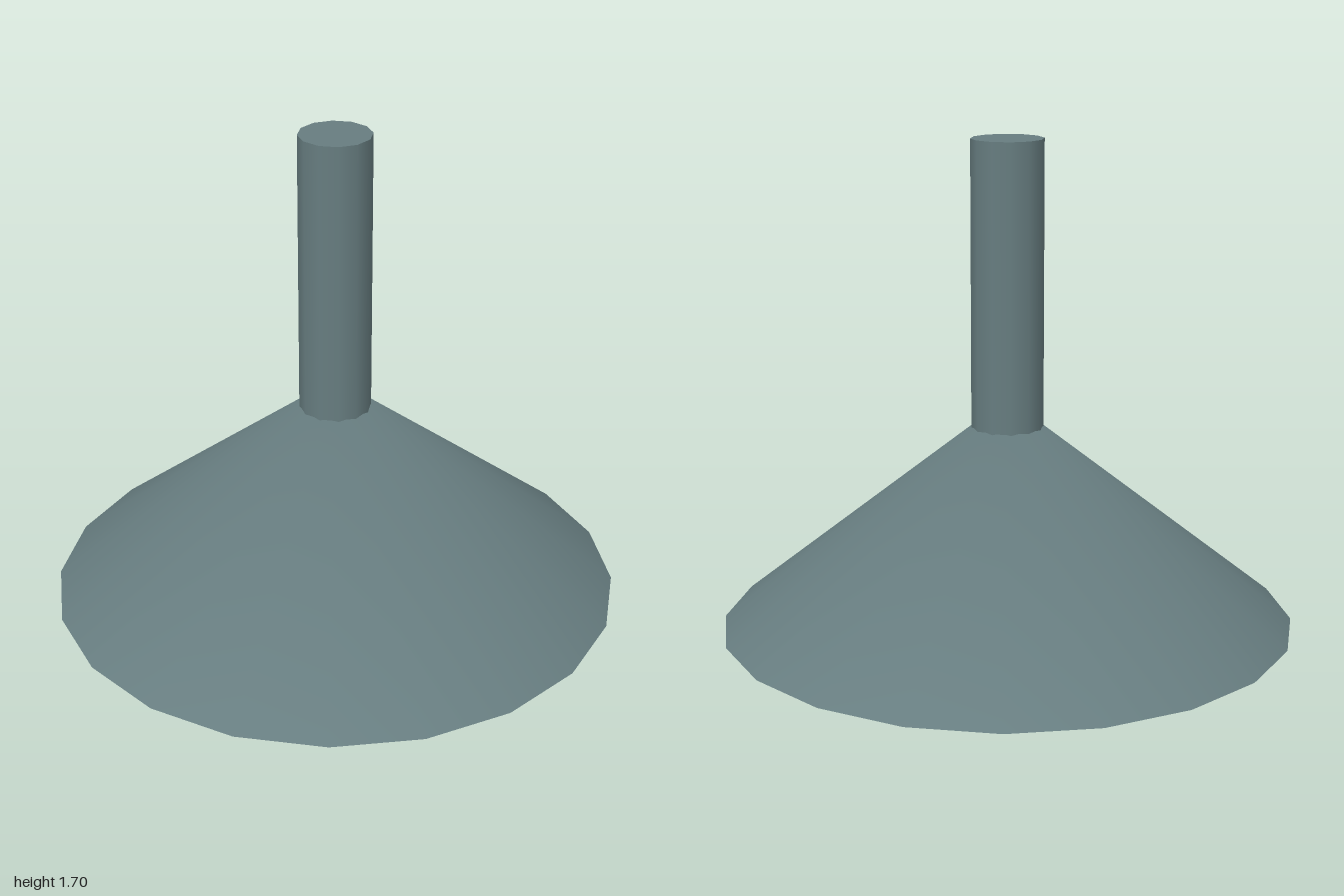
import * as THREE from 'three';
import { mergeVertices } from 'three/addons/utils/BufferGeometryUtils.js';

const SIDES = 20;

export function createModel() {
  const model = new THREE.Group();
  model.name = 'pendantLamp';

  const metal = new THREE.MeshStandardMaterial({ color: 0x677d80 });
  metal.name = 'slate grey metal';
  const glass = new THREE.MeshStandardMaterial({ color: 0xe6e6e6 });
  glass.name = 'white glass';

  const add = (name, geometry, material, y = 0) => {
    const mesh = new THREE.Mesh(geometry, material);
    mesh.name = name;
    mesh.position.y = y;
    model.add(mesh);
  };

  // Open cone whose vertices are shared, so the shading runs smoothly to the tip
  const smoothCone = (radius, height) => {
    const cone = new THREE.ConeGeometry(radius, height, SIDES, 1, true);
    cone.deleteAttribute('normal');
    cone.deleteAttribute('uv');
    const merged = mergeVertices(cone, 1e-4);
    merged.translate(0, height / 2, 0);
    return merged;
  };

  // Shade: outer cone, flat rim and an inward-facing lining
  const outer = smoothCone(1, 0.8);
  outer.computeVertexNormals();
  add('shadeOuter', outer, metal);

  const lining = smoothCone(0.77, 0.63);
  lining.setIndex(Array.from(lining.index.array).reverse());
  lining.computeVertexNormals();
  add('shadeLining', lining, metal);

  add('shadeRim', new THREE.RingGeometry(0.77, 1, SIDES).rotateX(Math.PI / 2), metal);

  // Stem rising from the shade
  add('stem', new THREE.CylinderGeometry(0.125, 0.125, 1, 12), metal, 1.195);

  // Bulb hanging inside the shade
  add('bulb', new THREE.SphereGeometry(0.245, 32, 20), glass, 0.44);

  return model;
}
